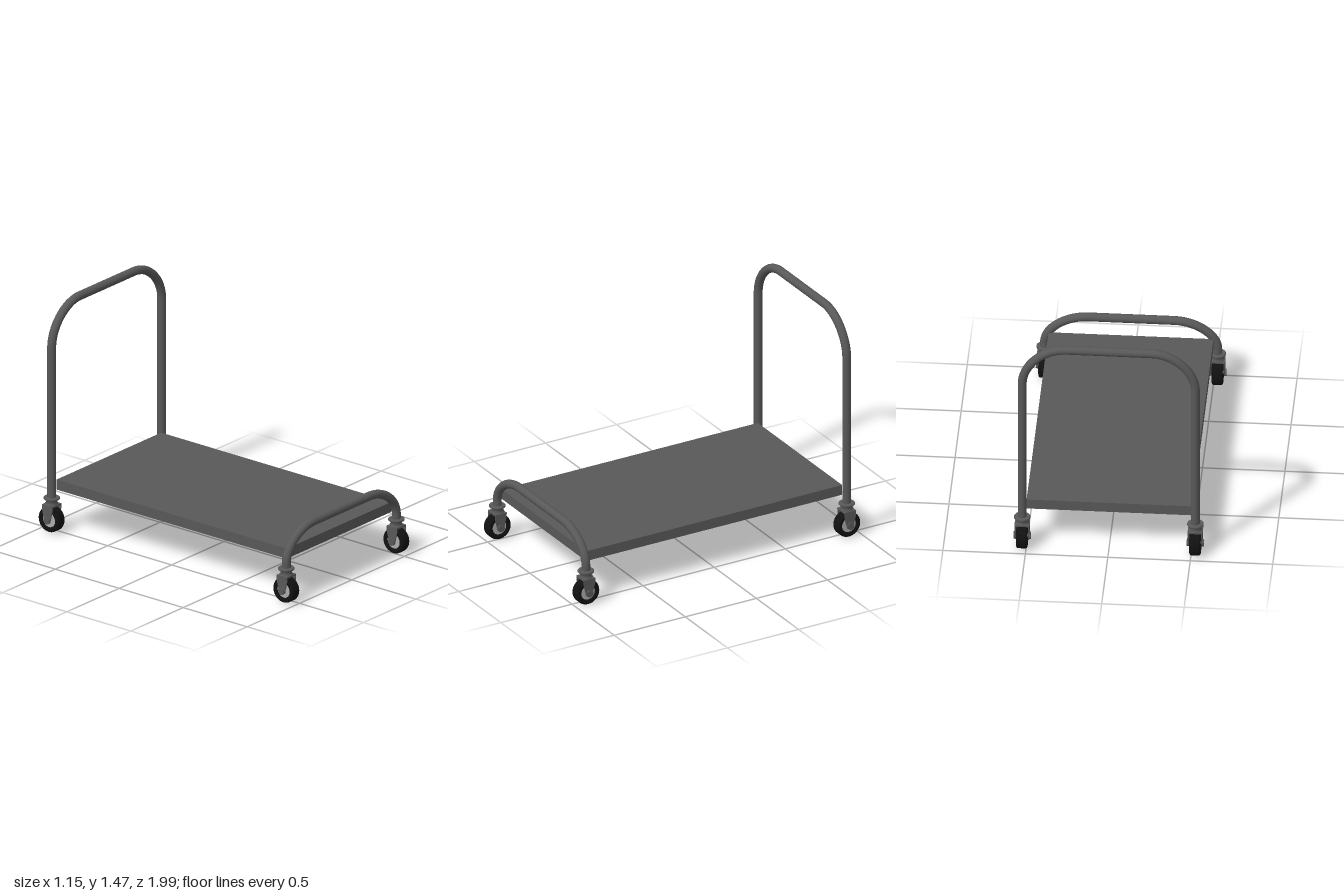
import * as THREE from 'three';

const steel = new THREE.MeshStandardMaterial({ color: 0x585858 });
const rubber = new THREE.MeshStandardMaterial({ color: 0x111111 });
const hubGrey = new THREE.MeshStandardMaterial({ color: 0xaaaaaa });

const POST_X = 0.525, POST_Z = 0.917;

function add(parent, name, geometry, material, x = 0, y = 0, z = 0) {
  const mesh = new THREE.Mesh(geometry, material);
  mesh.name = name;
  mesh.position.set(x, y, z);
  parent.add(mesh);
  return mesh;
}

// Arched tube: two posts joined by a bar with wide rounded corners
function archedTube(baseY, bendY, topY) {
  const v = (x, y) => new THREE.Vector3(x, y, 0);
  const k = 0.52, inner = 0.26, span = POST_X - inner, rise = topY - bendY;
  const corner = s => [
    v(s * POST_X, bendY), v(s * POST_X, bendY + rise * k),
    v(s * (inner + span * k), topY), v(s * inner, topY),
  ];
  const path = new THREE.CurvePath();
  path.add(new THREE.LineCurve3(v(-POST_X, baseY), v(-POST_X, bendY)));
  path.add(new THREE.CubicBezierCurve3(...corner(-1)));
  path.add(new THREE.LineCurve3(v(-inner, topY), v(inner, topY)));
  path.add(new THREE.CubicBezierCurve3(...corner(1).reverse()));
  path.add(new THREE.LineCurve3(v(POST_X, bendY), v(POST_X, baseY)));
  return new THREE.TubeGeometry(path, 120, 0.027, 20);
}

// Open-bottomed tray with thin turned-down sides
function makePlatform() {
  const g = new THREE.Group();
  g.name = 'platform';
  const w = 1.0, d = 1.8, t = 0.012, top = 0.33, h = 0.065;
  add(g, 'deck', new THREE.BoxGeometry(w, t, d), steel, 0, top - t / 2, 0);
  for (const s of [-1, 1]) {
    const y = top - t - (h - t) / 2;
    add(g, 'sideLip', new THREE.BoxGeometry(t, h - t, d), steel, s * (w - t) / 2, y, 0);
    add(g, 'endLip', new THREE.BoxGeometry(w - 2 * t, h - t, t), steel, 0, y, s * (d - t) / 2);
  }
  return g;
}

// Swivel caster: stacked collars, two-armed fork, axle and wheel
function makeCaster() {
  const g = new THREE.Group();
  g.name = 'caster';
  const axleY = 0.08;

  const collar = [[0, 0.168], [0.04, 0.168], [0.042, 0.173], [0.042, 0.18], [0.034, 0.183],
    [0.034, 0.206], [0.046, 0.207], [0.05, 0.211], [0.05, 0.218], [0.046, 0.222], [0, 0.222]];
  const collarMesh = add(g, 'swivelCollar',
    new THREE.LatheGeometry(collar.map(p => new THREE.Vector2(...p)), 28), steel);
  collarMesh.material = steel;

  add(g, 'forkCrown', new THREE.BoxGeometry(0.09, 0.01, 0.08), steel, 0, 0.171, 0);

  // Tapered arm outline in the z-y plane, rounded around the axle
  const arm = new THREE.Shape();
  arm.moveTo(-0.04, 0.176);
  arm.lineTo(-0.04, 0.145);
  arm.lineTo(-0.024, axleY);
  arm.absarc(0, axleY, 0.024, Math.PI, 2 * Math.PI, false);
  arm.lineTo(0.04, 0.145);
  arm.lineTo(0.04, 0.176);
  arm.closePath();
  const armGeo = new THREE.ExtrudeGeometry(arm, { depth: 0.006, bevelEnabled: false, curveSegments: 14 });
  armGeo.translate(0, 0, -0.003);
  armGeo.rotateY(Math.PI / 2);

  const bossGeo = new THREE.CylinderGeometry(0.023, 0.023, 0.01, 20).rotateZ(Math.PI / 2);
  for (const s of [-1, 1]) {
    add(g, 'forkArm', armGeo, steel, s * 0.041, 0, 0);
    add(g, 'axleNut', bossGeo, steel, s * 0.047, axleY, 0);
  }
  add(g, 'axle', new THREE.CylinderGeometry(0.01, 0.01, 0.09, 14).rotateZ(Math.PI / 2), steel, 0, axleY, 0);

  // Tyre with rounded shoulders around a slightly recessed hub
  const tyre = [[0.048, -0.026], [0.054, -0.033], [0.068, -0.034], [0.076, -0.031], [0.08, -0.023],
    [0.08, 0.023], [0.076, 0.031], [0.068, 0.034], [0.054, 0.033], [0.048, 0.026], [0.048, -0.026]];
  const tyreGeo = new THREE.LatheGeometry(tyre.map(p => new THREE.Vector2(...p)), 36).rotateZ(Math.PI / 2);
  add(g, 'tyre', tyreGeo, rubber, 0, axleY, 0);
  add(g, 'wheelHub', new THREE.CylinderGeometry(0.049, 0.049, 0.05, 32).rotateZ(Math.PI / 2), hubGrey, 0, axleY, 0);
  return g;
}

export function createModel() {
  const model = new THREE.Group();
  model.name = 'platformTrolley';
  model.add(makePlatform());

  add(model, 'pushHandle', archedTube(0.215, 1.19, 1.447), steel, 0, 0, -POST_Z);
  add(model, 'frontRail', archedTube(0.215, 0.25, 0.443), steel, 0, 0, POST_Z);

  for (const x of [-1, 1]) {
    for (const z of [-1, 1]) {
      const caster = makeCaster();
      caster.position.set(x * POST_X, 0, z * POST_Z);
      model.add(caster);
    }
  }
  return model;
}
